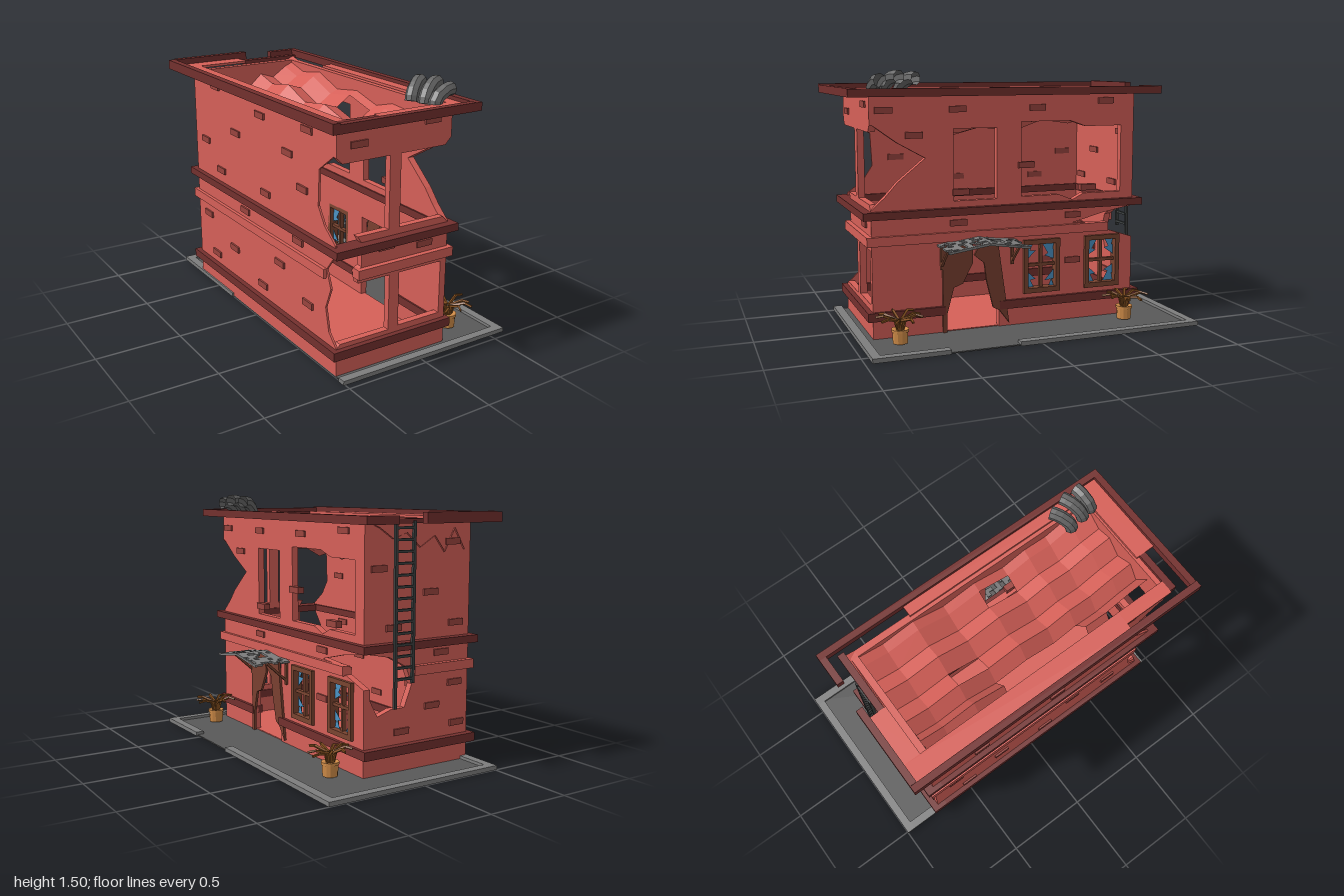
import * as THREE from 'three';
import { mergeGeometries } from 'three/addons/utils/BufferGeometryUtils.js';

const mat = (color, side = THREE.FrontSide) =>
  new THREE.MeshStandardMaterial({ color, side, flatShading: true });
const RED = mat(0xd66058), BRICK = mat(0x9a453f), TRIM = mat(0x73302e), WOOD = mat(0x7a4430);
const GREY = mat(0x7d7d7d), ASPHALT = mat(0x595959), IRON = mat(0x3c4040), CLAY = mat(0xd08c48);
const LEAF = mat(0x85501f), GLASS = mat(0x4b93c4, THREE.DoubleSide);
const ROOF = mat(0xd66058, THREE.DoubleSide), PIPE = mat(0x666666, THREE.DoubleSide);
const DOOR = mat(0x7a4030);

// small seeded generator
let seed = 7;
const rnd = () => (seed = (seed * 16807) % 2147483647) / 2147483647;

const boxGeo = (x0, x1, y0, y1, z0, z1) =>
  new THREE.BoxGeometry(x1 - x0, y1 - y0, z1 - z0).translate((x0 + x1) / 2, (y0 + y1) / 2, (z0 + z1) / 2);
const poly = (pts) => new THREE.Shape(pts.map(([a, b]) => new THREE.Vector2(a, b)));
const rect = (a0, a1, b0, b1) => [[a0, b0], [a1, b0], [a1, b1], [a0, b1]];

// wall panel from an outline and holes
function panel(pts, holes = [], depth = 0.04) {
  const s = poly(pts);
  s.holes = holes.map(poly);
  return new THREE.ExtrudeGeometry(s, { depth, bevelEnabled: false });
}
const sideways = (geo, x) => geo.rotateY(-Math.PI / 2).translate(x, 0, 0);

// bar between two points
function bar(a, b, w, d = w) {
  const p = new THREE.Vector3(...a), q = new THREE.Vector3(...b), dir = q.clone().sub(p);
  const g = new THREE.BoxGeometry(w, dir.length(), d);
  g.applyQuaternion(new THREE.Quaternion().setFromUnitVectors(new THREE.Vector3(0, 1, 0), dir.normalize()));
  return g.translate(...p.add(q).multiplyScalar(0.5).toArray());
}

export function createModel() {
  seed = 7;
  const root = new THREE.Group();
  const add = (name, material, ...geos) => {
    const m = new THREE.Mesh(geos.length > 1 ? mergeGeometries(geos) : geos[0], material);
    m.name = name;
    root.add(m);
  };

  // pavement with broken curb, and the indoor floor
  add('pavement', ASPHALT, boxGeo(-0.5, 0.59, 0.013, 0.02, -0.99, 0.95));
  add('curb', GREY,
    boxGeo(0.55, 0.6, 0.012, 0.037, -1, 0.13), boxGeo(0.55, 0.6, 0.012, 0.037, 0.53, 0.96),
    boxGeo(-0.51, 0.55, 0.012, 0.037, -1, -0.95), boxGeo(-0.51, 0.55, 0.012, 0.037, 0.91, 0.96),
    boxGeo(-0.51, -0.46, 0.012, 0.037, -0.95, -0.3));
  add('indoorFloor', RED, boxGeo(-0.49, 0.21, 0.018, 0.025, -0.74, 0.86));

  // front wall: both upper corners and the lower left corner are gone
  add('frontWall', RED, panel([
    [-0.5, 0.02], [0.22, 0.02], [0.22, 0.74], [0.185, 0.78], [-0.105, 0.78], [-0.105, 1.18], [0.18, 1.18],
    [0.22, 1.22], [0.22, 1.38], [-0.5, 1.38], [-0.5, 1.215], [-0.465, 1.18], [-0.175, 1.18], [-0.175, 0.78],
    [-0.37, 0.78], [-0.345, 0.74], [-0.345, 0.61], [-0.38, 0.59], [-0.365, 0.52], [-0.165, 0.52],
    [-0.165, 0.2], [-0.475, 0.2], [-0.5, 0.175]], [rect(-0.1, 0.18, 0.21, 0.52)]).translate(0, 0, 0.83));
  // back wall with a hole behind the ladder
  add('backWall', RED, panel([
    [-0.5, 0.02], [0.22, 0.02], [0.22, 0.5], [0.18, 0.44], [0.13, 0.345], [0.04, 0.375], [-0.05, 0.375],
    [-0.1, 0.5], [-0.06, 0.6], [0.05, 0.66], [0.22, 0.695], [0.22, 1.38], [-0.5, 1.38]]).translate(0, 0, -0.75));
  // right wall with doorway, windows and broken corners
  add('rightWall', RED, sideways(panel([
    [-0.75, 0.02], [0.12, 0.02], [0.12, 0.54], [0.45, 0.54], [0.45, 0.02], [0.87, 0.02], [0.87, 0.75],
    [0.79, 0.82], [0.717, 0.9], [0.556, 1.03], [0.717, 1.12], [0.87, 1.23], [0.87, 1.38], [-0.75, 1.38], [-0.75, 0.695],
    [-0.55, 0.66], [-0.35, 0.61], [-0.58, 0.595], [-0.58, 0.555], [-0.75, 0.5]],
    [rect(0.13, 0.39, 0.78, 1.19), rect(-0.25, -0.04, 0.21, 0.52), rect(-0.65, -0.44, 0.21, 0.52),
      [[-0.02, 0.785], [-0.02, 1.22], [-0.33, 1.22], [-0.43, 1.185], [-0.665, 1.185], [-0.665, 0.785],
        [-0.42, 0.785], [-0.35, 0.75], [-0.26, 0.785]]]), 0.22));
  // left wall, thin and eaten away along its front edge
  add('leftWall', RED, sideways(panel([
    [-0.75, 0.02], [0.87, 0.02], [0.87, 0.18], [0.8, 0.25], [0.77, 0.38], [0.82, 0.5], [0.78, 0.6], [0.86, 0.7],
    [0.86, 0.755], [0.76, 0.83], [0.7, 0.92], [0.71, 1.12], [0.86, 1.23], [0.87, 1.38], [-0.75, 1.38]],
    [], 0.012), -0.488));

  // trim bands around the walls
  add('baseTrim', TRIM,
    boxGeo(-0.53, 0.24, 0.125, 0.175, 0.82, 0.9), boxGeo(-0.53, 0.24, 0.125, 0.175, -0.79, -0.7),
    boxGeo(-0.53, -0.475, 0.125, 0.175, -0.7, 0.82), boxGeo(0.17, 0.24, 0.125, 0.175, 0.45, 0.82),
    boxGeo(0.17, 0.24, 0.125, 0.175, -0.7, 0.12));
  add('middleTrim', TRIM,
    boxGeo(-0.53, 0.255, 0.7, 0.743, 0.82, 0.92), boxGeo(-0.53, 0.255, 0.7, 0.743, -0.8, -0.7),
    boxGeo(-0.53, -0.475, 0.7, 0.743, -0.7, 0.82), boxGeo(0.17, 0.255, 0.7, 0.743, -0.7, 0.82));
  add('thinBand', RED,
    boxGeo(-0.38, 0.24, 0.55, 0.603, 0.84, 0.9), boxGeo(-0.52, -0.1, 0.55, 0.603, -0.78, -0.72),
    boxGeo(-0.52, -0.488, 0.55, 0.603, -0.72, 0.78), boxGeo(0.19, 0.24, 0.55, 0.603, -0.58, 0.84));
  add('roofFrame', TRIM,
    boxGeo(-0.605, -0.565, 1.375, 1.43, -0.89, 1), boxGeo(0.265, 0.305, 1.375, 1.42, -0.89, 1),
    boxGeo(-0.565, 0.265, 1.375, 1.422, 0.96, 1), boxGeo(-0.565, -0.08, 1.375, 1.435, -0.89, -0.85),
    boxGeo(0.1, 0.265, 1.375, 1.42, -0.89, -0.85), boxGeo(-0.14, 0.24, 1.375, 1.4, -0.8, -0.76),
    boxGeo(-0.52, -0.26, 1.36, 1.4, 0.86, 0.9));

  // flat roof edge that still stands around the collapse
  add('roofEdge', RED,
    boxGeo(-0.565, -0.45, 1.385, 1.4, -0.85, 0.55), boxGeo(-0.53, -0.45, 1.385, 1.4, 0.55, 0.86),
    boxGeo(-0.26, 0.265, 1.385, 1.4, 0.84, 0.96), boxGeo(0.2, 0.265, 1.385, 1.4, -0.36, 0.84),
    boxGeo(-0.45, -0.14, 1.385, 1.4, -0.85, -0.75));

  // collapsed roof: a folded sheet of flat facets, hanging lowest on the left, with fallen pieces
  const xs = [-0.45, -0.38, -0.31, -0.24, -0.14, -0.05, 0.04, 0.13, 0.22];
  const dropX = [0.17, 0.05, 0.18, 0.09, 0.15, 0.07, 0.1, 0.04, 0];
  const zs = [-0.76, -0.56, -0.36, -0.16, 0.05, 0.25, 0.4, 0.55, 0.7, 0.86];
  const dropZ = [0, 0.05, 0.02, 0.09, 0.06, 0.11, 0.07, 0.08, 0.03, 0];
  const fallen = (i, j) => (i < 2 && j > 2 && j < 6) || (i === 0 && j > 6) || (i === 3 && j === 2) || (i === 6 && j === 4);
  const tri = [];
  for (let i = 0; i < xs.length - 1; i++) for (let j = 0; j < zs.length - 1; j++) {
    if (fallen(i, j)) continue;
    const p = (a, b) => [xs[a], 1.395 - dropX[a] - dropZ[b], zs[b]];
    const [a, b, c, d] = [p(i, j), p(i, j + 1), p(i + 1, j + 1), p(i + 1, j)];
    tri.push(...a, ...b, ...c, ...a, ...c, ...d);
  }
  const sheet = new THREE.BufferGeometry();
  sheet.setAttribute('position', new THREE.Float32BufferAttribute(tri, 3));
  sheet.computeVertexNormals();
  add('collapsedRoof', ROOF, sheet);

  // loose bricks standing out of the walls: [along, height]
  const bricks = [];
  const frontBricks = [[-0.37, 1.27], [0.09, 1.33], [-0.19, 0.69], [0.06, 0.655]];
  const backBricks = [[-0.37, 1.27], [0.13, 1.14], [-0.22, 1], [-0.4, 0.82], [0.03, 0.82], [-0.4, 0.48],
    [-0.24, 0.365], [-0.42, 0.245], [-0.03, 0.245], [-0.3, 0.66]];
  const rightBricks = [[0.79, 1.3], [0.365, 1.3], [-0.12, 1.3], [-0.56, 1.335], [0.62, 1.16], [-0.05, 0.97],
    [0.35, 0.83], [-0.45, 0.82], [0.365, 0.655], [-0.35, 0.66], [-0.35, 0.385]];
  const leftBricks = [[0.6, 1.3], [0.1, 1.27], [-0.45, 1.33], [0.4, 1.13], [-0.2, 1.1], [-0.6, 0.97], [0.55, 0.97],
    [0.15, 0.83], [-0.4, 0.82], [0.5, 0.66], [-0.1, 0.65], [-0.6, 0.48], [0.3, 0.46], [-0.25, 0.36],
    [0.6, 0.33], [0.1, 0.25], [-0.5, 0.24]];
  const h = 0.018, w = 0.05;
  frontBricks.forEach(([x, y]) => bricks.push(boxGeo(x - w, x + w, y - h, y + h, 0.84, 0.88)));
  backBricks.forEach(([x, y]) => bricks.push(boxGeo(x - w, x + w, y - h, y + h, -0.76, -0.7)));
  rightBricks.forEach(([z, y]) => bricks.push(boxGeo(0.19, 0.23, y - h, y + h, z - w, z + w)));
  leftBricks.forEach(([z, y]) => bricks.push(boxGeo(-0.511, -0.48, y - h, y + h, z - w, z + w)));
  add('looseBricks', BRICK, ...bricks);

  // lower windows: frame, cross bars and glass shards
  for (const z of [-0.148, -0.543]) {
    const f = 0.115;
    add('windowFrame', WOOD,
      sideways(panel(rect(z - f, z + f, 0.205, 0.525), [rect(z - 0.088, z + 0.088, 0.235, 0.497)], 0.06), 0.24),
      sideways(panel(rect(z - 0.009, z + 0.009, 0.235, 0.497), [], 0.025), 0.22),
      sideways(panel(rect(z - 0.088, z + 0.088, 0.362, 0.38), [], 0.025), 0.221));
    const shards = [];
    for (const sx of [-1, 1]) for (const sy of [-1, 1]) {
      const cz = z + sx * 0.088, cy = 0.366 + sy * 0.131, k = 0.4 + rnd() * 0.6;
      shards.push([[cz, cy], [cz - sx * 0.08 * k, cy], [cz - sx * 0.015, cy - sy * 0.11 * k]],
        [[cz, cy - sy * 0.04], [cz - sx * 0.06, cy - sy * 0.08 * k], [cz, cy - sy * 0.1]]);
    }
    add('glassShards', GLASS, ...shards.map((s) => sideways(new THREE.ShapeGeometry(poly(s)), 0.205)));
  }

  // splintered door halves
  add('brokenDoor', DOOR,
    sideways(panel([[0.465, 0.02], [0.465, 0.54], [0.283, 0.56], [0.283, 0.42], [0.345, 0.3], [0.4, 0.28],
      [0.44, 0.13], [0.44, 0.02]], [], 0.015), 0.235),
    sideways(panel([[0.06, 0.04], [0.13, 0.53], [0.22, 0.56], [0.275, 0.46], [0.215, 0.41], [0.2, 0.3],
      [0.16, 0.14], [0.12, 0.12]], [], 0.015), 0.235));

  // awning: shallow gable of broken plates with braces
  const plates = [];
  const ridge = [0.255, 0.564], eave = 0.53, nx = 9, nz = 8;
  for (const s of [-1, 1]) {
    const pitch = Math.atan2(ridge[1] - eave, 0.24);
    for (let i = 0; i < nx; i++) for (let j = 0; j < nz; j++) {
      const hole = rnd() < 0.36;
      if (hole && i > 0) continue;
      const lx = 0.232 / nx, lz = 0.24 / nz;
      plates.push(new THREE.BoxGeometry(lx, 0.012, lz).translate(0.22 + lx * (i + 0.5), 0, s * lz * (j + 0.5))
        .rotateX(s * pitch).translate(0, ridge[1], ridge[0]));
    }
    const ze = ridge[0] + s * 0.215;
    add('awningBrace', WOOD, bar([0.225, 0.41, ze], [0.36, 0.53, ze], 0.014),
      bar([0.23, 0.39, ze], [0.23, 0.53, ze], 0.014));
    plates.push(bar([0.447, 0.527, ridge[0] + s * 0.24], [0.447, 0.562, ridge[0]], 0.012));
  }
  add('awning', GREY, ...plates);

  // ladder on the back wall
  const ladder = [bar([-0.065, 0.52, -0.8], [-0.065, 1.39, -0.8], 0.017), bar([0.055, 0.39, -0.805], [0.055, 1.39, -0.8], 0.017)];
  for (let y = 0.54; y < 1.37; y += 0.062) ladder.push(boxGeo(-0.065, 0.055, y, y + 0.014, -0.808, -0.792));
  add('ladder', IRON, ...ladder);

  // three bent vent pipes on the roof
  [[0.10, 0.675, 0.195, 0.615], [0.115, 0.765, 0.225, 0.715], [0.13, 0.83, 0.235, 0.815]].forEach(([x, z, x1, z1], i) => {
    const at = (t, y) => new THREE.Vector3(x + (x1 - x) * t, y, z + (z1 - z) * t);
    const top = [1.472, 1.48, 1.462][i];
    const curve = new THREE.CatmullRomCurve3([at(0.05, 1.385), at(0.15, 1.425), at(0.5, top - 0.015), at(0.8, top), at(1.2, top)]);
    add('ventPipe', PIPE, new THREE.TubeGeometry(curve, 6, 0.038, 8));
  });

  // potted dry plants: short stem fan, then flat spiky leaves
  for (const z of [0.75, -0.635]) {
    const pot = new THREE.LatheGeometry([[0, 0.03], [0.042, 0.03], [0.045, 0.095], [0.05, 0.095], [0.05, 0.11],
      [0.04, 0.11], [0, 0.1]].map(([r, y]) => new THREE.Vector2(r, y)), 12);
    add('pot', CLAY, pot.translate(0.355, 0, z));
    const leaves = [];
    for (let i = 0; i < 9; i++) {
      const a = (i / 9) * Math.PI * 2 + rnd() * 0.3, r = 0.11 + rnd() * 0.035, tip = 0.175 + rnd() * 0.02;
      const at = (d, y, t = 0) => [0.355 + Math.cos(a + t) * d, y, z + Math.sin(a + t) * d];
      leaves.push(bar(at(0.015, 0.1), at(0.03, 0.16), 0.014, 0.01),
        bar(at(0.015, 0.158), at(r * 0.7, tip, 0.06), 0.013, 0.013),
        bar(at(r * 0.68, tip, 0.06), at(r, tip - 0.008, 0.2), 0.01, 0.012));
    }
    add('dryLeaves', LEAF, ...leaves);
  }
  return root;
}
